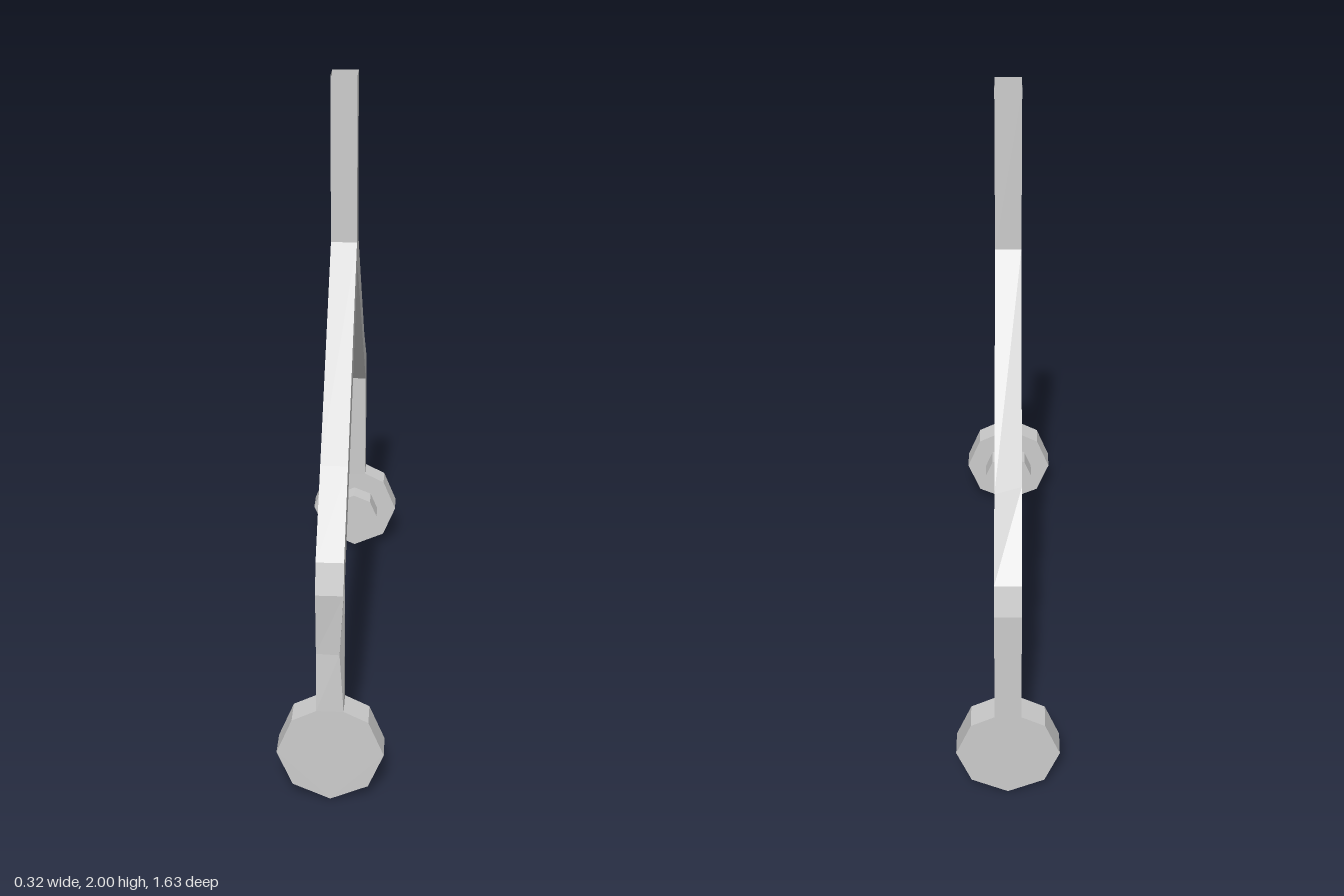
import * as THREE from 'three';

const material = new THREE.MeshStandardMaterial({ color: 0xcccccc, flatShading: true, side: THREE.DoubleSide });
const HALF = 0.04; // half thickness of the bars
const TOP = 2, ANKLE = 0.312;

const toShape = (pts) => new THREE.Shape(pts.map(([a, b]) => new THREE.Vector2(a, b)));
const mirror = (pts) => pts.map(([a, b]) => [-a, b]).reverse();

// Remove the flat end caps so the hollow bars stay open at the given heights
function openEnds(geometry, heights) {
  const p = geometry.attributes.position, kept = [];
  for (let i = 0; i < p.count; i += 3) {
    const cap = heights.some((h) => [0, 1, 2].every((k) => Math.abs(p.getY(i + k) - h) < 1e-4));
    if (cap) continue;
    for (let k = 0; k < 3; k++) kept.push(p.getX(i + k), p.getY(i + k), p.getZ(i + k));
  }
  const out = new THREE.BufferGeometry();
  out.setAttribute('position', new THREE.Float32BufferAttribute(kept, 3));
  return out;
}

// Forked bar: stem, two sloping arms and two upright legs
function forkGeometry() {
  const half = [
    [0.73, ANKLE], [0.813, ANKLE], [0.813, 0.5], [0.813, 0.7], [0.785, 0.79],
    [0.575, 0.987], [0.045, 1.49], [0.045, TOP],
  ];
  const inner = [[0.43, 0.994], [0.727, 0.713]];
  const outline = [[0, 1.404], ...inner, ...half, ...mirror(half), ...mirror(inner)];
  let g = new THREE.ExtrudeGeometry(toShape(outline), { depth: 2 * HALF, bevelEnabled: false });
  g.translate(0, 0, -HALF);
  g.rotateY(-Math.PI / 2);
  g = openEnds(g, [TOP, ANKLE]);

  // Small dents along the bars: position (y, z), side of x (0 = both), shift
  const dents = [
    { y: 0.987, z: -0.575, side: 1, shift: [0, -0.03, 0.005] },
    { y: 0.994, z: 0.43, side: 1, shift: [0, 0.03, 0] },
    { y: 0.5, z: 0.813, side: 1, shift: [-0.012, 0, -0.008] },
    { y: 0.5, z: 0.813, side: -1, shift: [0, 0, -0.012] },
  ];
  const p = g.attributes.position;
  for (let i = 0; i < p.count; i++) {
    const x = p.getX(i), y = p.getY(i), z = p.getZ(i);
    for (const d of dents) {
      if (Math.abs(y - d.y) < 1e-3 && Math.abs(z - d.z) < 1e-3 && x * d.side > 0) {
        p.setXYZ(i, x + d.shift[0], y + d.shift[1], z + d.shift[2]);
      }
    }
  }
  g.computeVertexNormals();
  return g;
}

// Faceted end disc with a flat top where the leg meets it
function discGeometry() {
  const right = [[0.112, 0.05], [0.158, 0.163], [0.112, 0.276], [HALF, ANKLE]];
  return new THREE.ExtrudeGeometry(toShape([[0, 0], ...right, ...mirror(right)]),
    { depth: 0.083, bevelEnabled: false });
}

export function createModel() {
  const model = new THREE.Group();
  const add = (parent, name, geometry) => {
    const mesh = new THREE.Mesh(geometry, material);
    mesh.name = name;
    parent.add(mesh);
    return mesh;
  };

  add(model, 'fork', forkGeometry());

  // Disc and inward-facing octagonal hub at the foot of each leg
  const disc = discGeometry();
  const hub = new THREE.CylinderGeometry(0.088, 0.088, 0.07, 8);
  hub.rotateX(Math.PI / 2);
  for (const [name, turn] of [['frontFoot', 0], ['backFoot', Math.PI]]) {
    const foot = new THREE.Group();
    foot.name = name;
    foot.rotation.y = turn;
    add(foot, 'disc', disc).position.z = 0.73;
    add(foot, 'hub', hub).position.set(0, 0.163, 0.695);
    model.add(foot);
  }
  return model;
}
